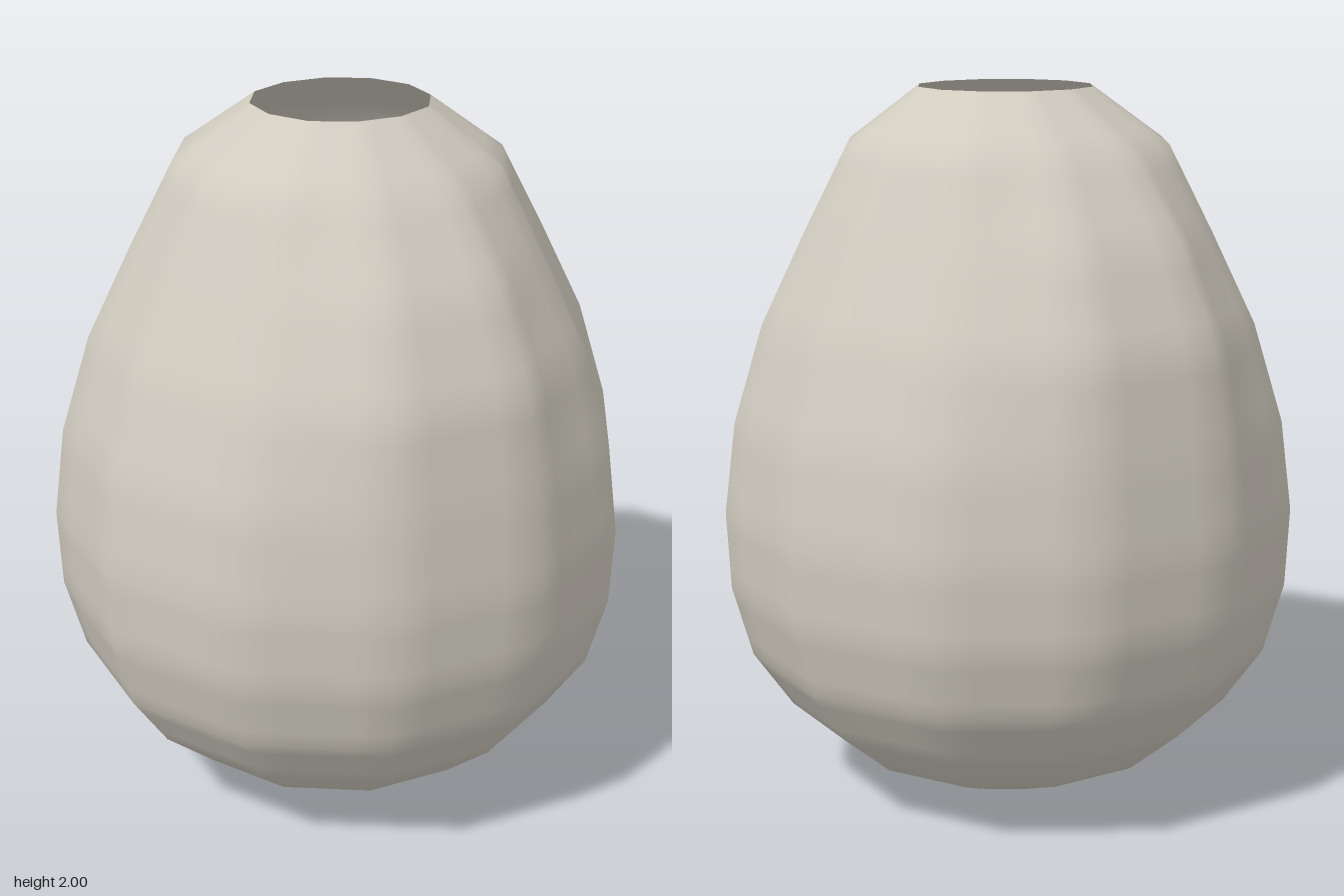
import * as THREE from 'three';

const SIDES = 12, SUB = 4, TURN = THREE.MathUtils.degToRad(10);

// [height, radius, radius of the fuller front and back panels]
const PROFILE = [
  [0.005, 0.01, 0.01], [0.018, 0.21, 0.21], [0.135, 0.475, 0.475], [0.27, 0.635, 0.635],
  [0.43, 0.745, 0.745], [0.63, 0.8, 0.8], [0.85, 0.81, 0.81], [1.1, 0.778, 0.785],
  [1.37, 0.695, 0.742], [1.62, 0.572, 0.625], [1.85, 0.452, 0.45], [2.0, 0.245, 0.24],
];

// Corner of the faceted shell
function corner(row, k) {
  const [y, r, panelR] = PROFILE[row];
  const a = TURN + (k % SIDES) * Math.PI * 2 / SIDES;
  const radius = [2, 3, 8, 9].includes(k % SIDES) ? panelR : r;
  const rim = row === PROFILE.length - 1;
  return new THREE.Vector3(radius * Math.cos(a), y, radius * Math.sin(a) + (rim ? 0.012 : 0));
}

// Each facet is finely divided so its middle stays flat and its edges shade softly
function shellGeometry() {
  const rows = (PROFILE.length - 1) * SUB, cols = SIDES * SUB;
  const pos = [], index = [];
  for (let j = 0; j <= rows; j++) {
    const row = Math.min(Math.floor(j / SUB), PROFILE.length - 2), v = j / SUB - row;
    for (let i = 0; i < cols; i++) {
      const k = Math.floor(i / SUB), u = i / SUB - k;
      const low = corner(row, k).lerp(corner(row, k + 1), u);
      const high = corner(row + 1, k).lerp(corner(row + 1, k + 1), u);
      pos.push(...low.lerp(high, v).toArray());
    }
  }
  for (let j = 0; j < rows; j++) {
    for (let i = 0; i < cols; i++) {
      const n = (i + 1) % cols;
      const a = j * cols + i, b = j * cols + n, c = a + cols, d = b + cols;
      index.push(a, c, b, b, c, d);
    }
  }
  // Close the underside
  const pole = pos.length / 3;
  pos.push(0, 0, 0);
  for (let i = 0; i < cols; i++) index.push(pole, i, (i + 1) % cols);

  const g = new THREE.BufferGeometry();
  g.setAttribute('position', new THREE.Float32BufferAttribute(pos, 3));
  g.setIndex(index);
  g.computeVertexNormals();
  return g;
}

export function createModel() {
  const group = new THREE.Group();
  group.name = 'openEgg';
  const shellMaterial = new THREE.MeshStandardMaterial({ color: 0xd0cbbf, side: THREE.DoubleSide });
  shellMaterial.name = 'eggshell';
  // Hollow shell, open at the top
  const shell = new THREE.Mesh(shellGeometry(), shellMaterial);
  shell.name = 'shell';
  group.add(shell);
  return group;
}
